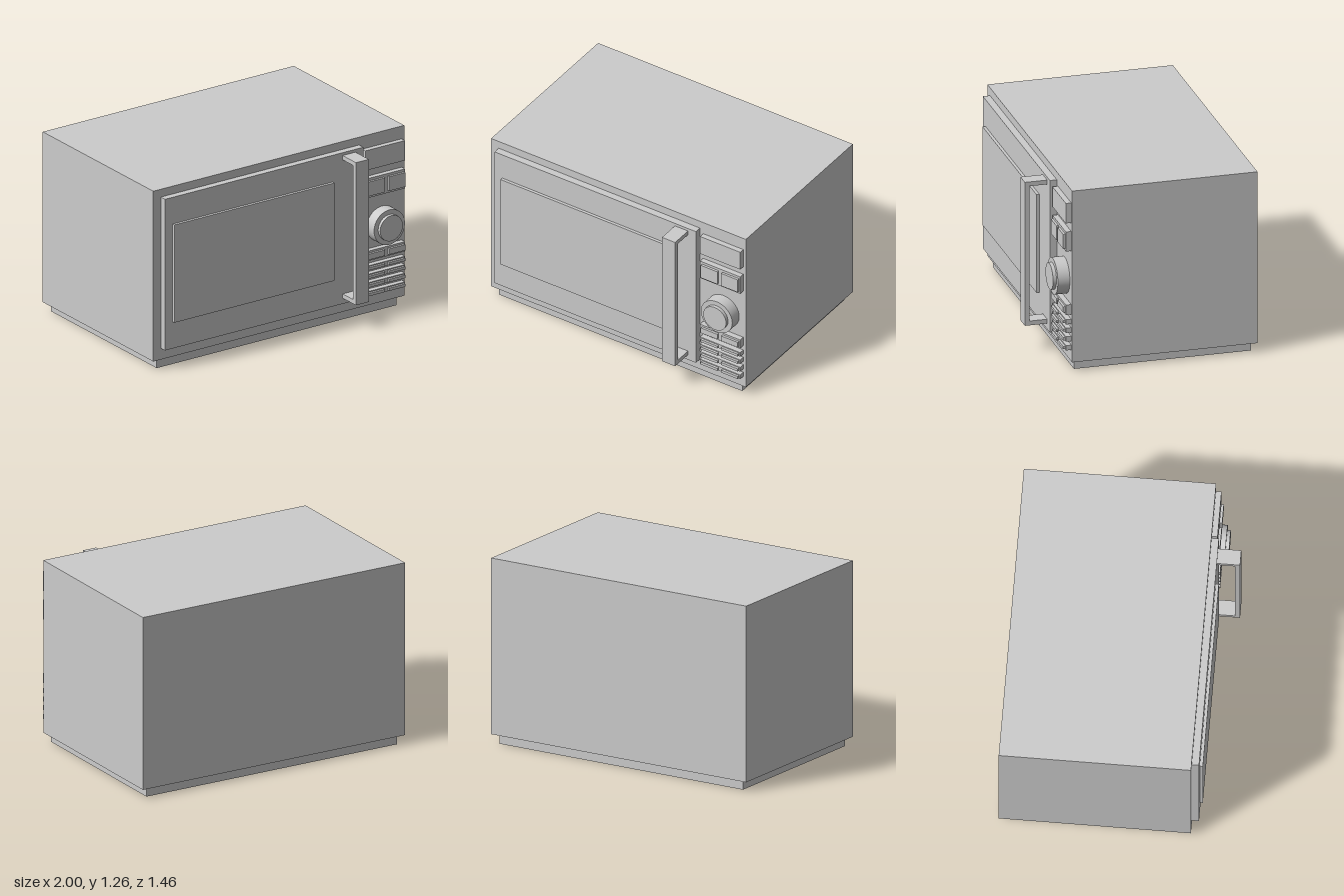
import * as THREE from 'three';

const FRONT = 0.53; // z of the cabinet's front face

export function createModel() {
  const model = new THREE.Group();
  model.name = 'microwaveOven';
  const material = new THREE.MeshStandardMaterial({ color: 0xcccccc });

  // Box given by its extents on each axis
  function box(name, x0, x1, y0, y1, z0, z1, parent = model) {
    const mesh = new THREE.Mesh(new THREE.BoxGeometry(x1 - x0, y1 - y0, z1 - z0), material);
    mesh.position.set((x0 + x1) / 2, (y0 + y1) / 2, (z0 + z1) / 2);
    mesh.name = name;
    parent.add(mesh);
  }

  // Round disc facing the front
  function disc(name, radius, z0, z1, parent) {
    const geometry = new THREE.CylinderGeometry(radius, radius, z1 - z0, 64).rotateX(Math.PI / 2);
    const mesh = new THREE.Mesh(geometry, material);
    mesh.position.set(0.825, 0.615, (z0 + z1) / 2);
    mesh.name = name;
    parent.add(mesh);
  }

  // Cabinet and recessed base
  box('cabinet', -1, 1, 0.065, 1.265, -0.73, FRONT);
  box('base', -0.955, 0.955, 0, 0.065, -0.7, 0.505);

  // Door with raised window
  box('door', -0.94, 0.64, 0.145, 1.21, FRONT, 0.578);
  box('window', -0.88, 0.395, 0.333, 1.022, 0.578, 0.598);

  // Handle: a flat bracket bent at both ends
  const profile = new THREE.Shape([
    [0.578, 0.185], [0.73, 0.185], [0.73, 1.19], [0.578, 1.19],
    [0.578, 1.16], [0.698, 1.16], [0.698, 0.215], [0.578, 0.215],
  ].map(([z, y]) => new THREE.Vector2(-z, y)));
  const handle = new THREE.Mesh(
    new THREE.ExtrudeGeometry(profile, { depth: 0.103, bevelEnabled: false }).rotateY(Math.PI / 2),
    material
  );
  handle.position.x = 0.475;
  handle.name = 'handle';
  model.add(handle);

  // Control panel: display, button rows and dial
  const controls = new THREE.Group();
  controls.name = 'controls';
  model.add(controls);
  box('display', 0.665, 0.98, 1.035, 1.175, FRONT, 0.567, controls);

  // Each row is a backing plate with a pair of buttons: [bottom, top, button margin]
  const rows = [
    [0.838, 0.975, 0.018],
    [0.394, 0.463, 0.014],
    [0.327, 0.36, 0.007],
    [0.268, 0.301, 0.007],
    [0.206, 0.241, 0.007],
    [0.145, 0.179, 0.007],
  ];
  for (const [y0, y1, margin] of rows) {
    box('buttonPlate', 0.665, 0.98, y0, y1, FRONT, 0.567, controls);
    for (const x of [0.681, 0.841]) {
      box('button', x, x + 0.13, y0 + margin, y1 - margin, 0.567, 0.583, controls);
    }
  }

  const dial = new THREE.Group();
  dial.name = 'dial';
  controls.add(dial);
  disc('dialRing', 0.123, FRONT, 0.612, dial);
  disc('dialCap', 0.09, 0.612, 0.635, dial);

  return model;
}
